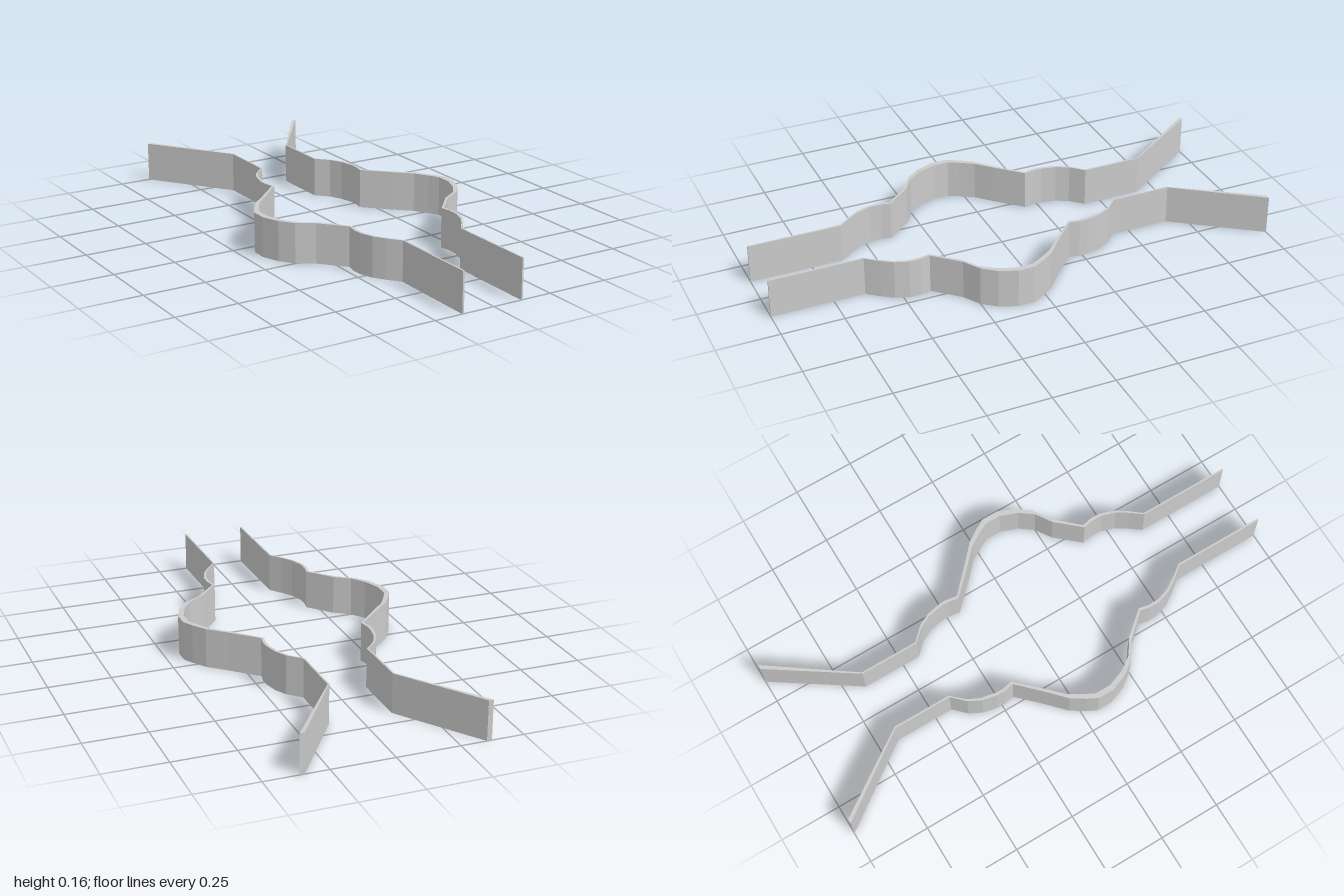
import * as THREE from 'three';

const HEIGHT = 0.16;
const THICKEN = 1.055; // outer face is the inner face stretched sideways

// Outer outline of the left wall in plan, [x, z] from back to front
const PROFILE = [
  [0.363, -1], [0.127, -0.67],                                  // flared mouth
  [0.127, -0.43], [0.177, -0.38], [0.203, -0.33],               // rear small bay
  [0.216, -0.27], [0.216, -0.235], [0.208, -0.195],
  [0.313, -0.095], [0.378, -0.037], [0.415, 0.018],             // large central bay
  [0.438, 0.06], [0.438, 0.125], [0.41, 0.195], [0.367, 0.25],
  [0.299, 0.292], [0.208, 0.39],
  [0.217, 0.43], [0.216, 0.475], [0.197, 0.53], [0.167, 0.575], // front small bay
  [0.127, 0.625], [0.127, 1],                                   // straight passage
];

function createWall(name, side, material) {
  // The right wall stands slightly further out, except at the central bay
  const outer = PROFILE.map(([x, z]) => {
    const bay = z > -0.19 && z < 0.38 ? Math.min(1, (x - 0.208) / 0.23) : 0;
    const shift = side < 0 ? 0.009 * (1 - bay) : 0;
    return new THREE.Vector2(side * (x + shift), -z);
  });
  const inner = outer.map((p) => new THREE.Vector2(p.x / THICKEN, p.y)).reverse();
  const geometry = new THREE.ExtrudeGeometry(new THREE.Shape([...outer, ...inner]), {
    depth: HEIGHT, bevelEnabled: false,
  });
  geometry.rotateX(-Math.PI / 2); // lay the plan flat, walls rise along y
  const wall = new THREE.Mesh(geometry, material);
  wall.name = name;
  return wall;
}

export function createModel() {
  const group = new THREE.Group();
  group.name = 'curvedWalls';
  const material = new THREE.MeshStandardMaterial({ color: 0xcccccc, flatShading: true });
  group.add(createWall('leftWall', 1, material), createWall('rightWall', -1, material));
  return group;
}
